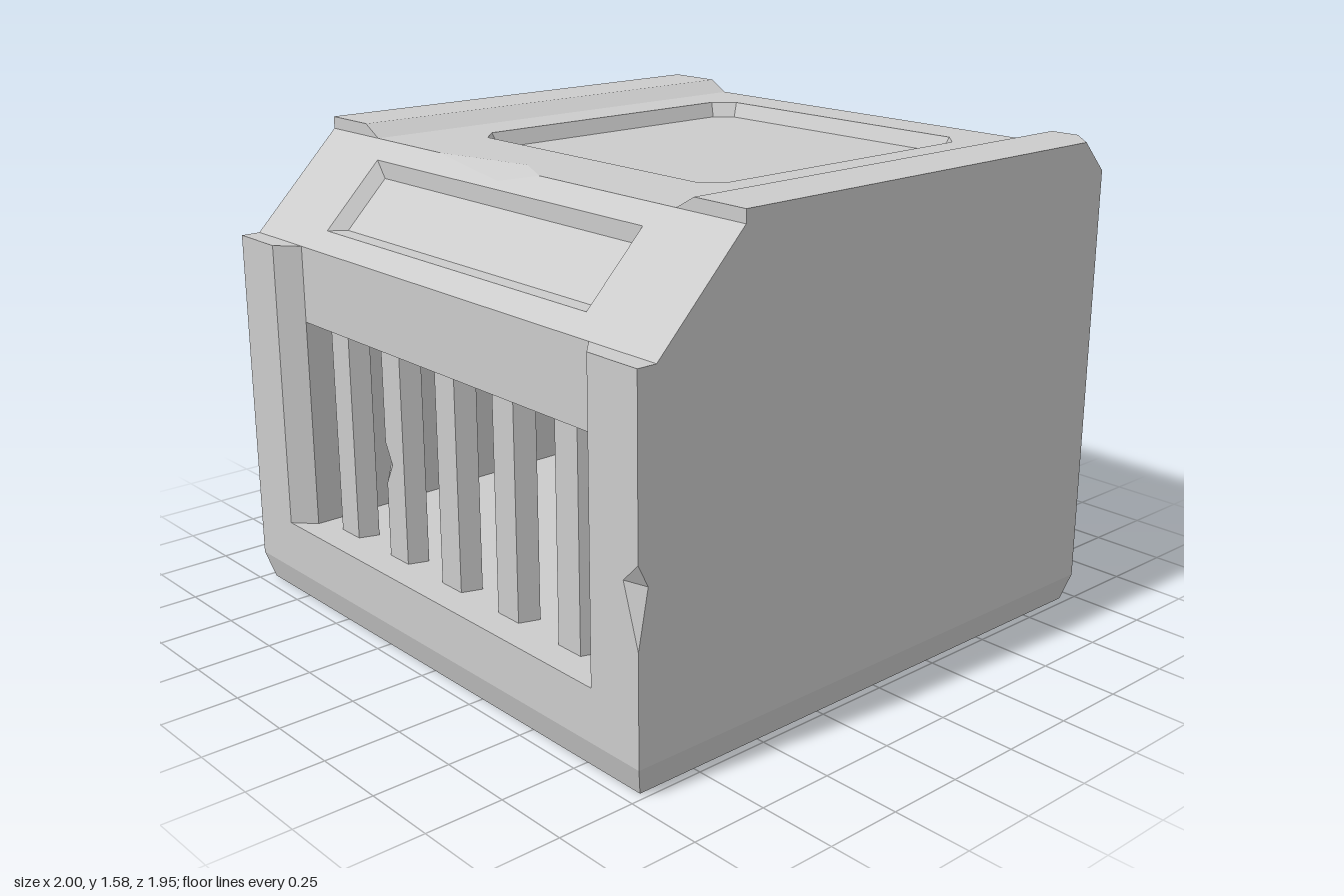
import * as THREE from 'three';

const material = new THREE.MeshStandardMaterial({ color: 0xcccccc, flatShading: true });

function addMesh(parent, name, geometry) {
  const flat = geometry.index ? geometry.toNonIndexed() : geometry;
  flat.computeVertexNormals();
  const mesh = new THREE.Mesh(flat, material);
  mesh.name = name;
  parent.add(mesh);
}

// Flat panel: a 2D outline (with holes) placed in space by map(a, b) -> [x, y, z]
function panel(parent, name, map, outline, holes = []) {
  const toPoints = (list) => list.map(([a, b]) => new THREE.Vector2(a, b));
  const shape = new THREE.Shape(toPoints(outline));
  shape.holes = holes.map((h) => new THREE.Path(toPoints(h)));
  const geometry = new THREE.ShapeGeometry(shape);
  const p = geometry.attributes.position;
  for (let i = 0; i < p.count; i++) p.setXYZ(i, ...map(p.getX(i), p.getY(i)));
  addMesh(parent, name, geometry);
}

function triangles(parent, name, corners) {
  const geometry = new THREE.BufferGeometry();
  geometry.setAttribute('position', new THREE.Float32BufferAttribute(corners.flat(), 3));
  addMesh(parent, name, geometry);
}

// Band of walls between two closed loops with the same number of points
function band(parent, name, a, b) {
  const corners = [];
  a.forEach((p, i) => {
    const j = (i + 1) % a.length;
    corners.push(p, a[j], b[j], p, b[j], b[i]);
  });
  triangles(parent, name, corners);
}

const rect = (x0, y0, x1, y1) => [[x0, y0], [x1, y0], [x1, y1], [x0, y1]];
const octagon = (hx, hz, cut, cz) => [
  [hx, -hz + cut], [hx, hz - cut], [hx - cut, hz], [-hx + cut, hz],
  [-hx, hz - cut], [-hx, -hz + cut], [-hx + cut, -hz], [hx - cut, -hz],
].map(([x, b]) => [x, b + cz]);

// Placements for panels; up uses b = -z, back uses a = -x, left uses a = -z
const front = (z) => (x, y) => [x, y, z];
const up = (y) => (x, b) => [x, y, -b];
const back = (a, y) => [-a, y, -0.975];
const left = (a, y) => [1, y, -a];
const right = (z, y) => [-1, y, z];
const slope = (x, t) => [x, 1.225 + 0.315 * t, 0.91 - 0.31 * t];
const place = (map, loop) => loop.map(([a, b]) => map(a, b));

function buildShell() {
  const g = new THREE.Group();
  g.name = 'shell';

  // Base with a narrow bevel
  panel(g, 'underside', (x, z) => [x, 0, z], rect(-0.975, -0.95, 0.975, 0.95));
  band(g, 'baseBevel', place(up(0), rect(-0.975, -0.95, 0.975, 0.95)),
    place(up(0.09), rect(-1, -0.975, 1, 0.975)));

  // Side walls; the left one has a worn corner and front edge
  panel(g, 'rightWall', right, [[-0.975, 0.09], [0.975, 0.09], [0.975, 1.225], [0.91, 1.225],
    [0.6, 1.54], [0.6, 1.58], [-0.975, 1.58]]);
  panel(g, 'leftWall', left, [[-0.975, 0.09], [0.975, 0.09], [0.975, 1.48], [0.88, 1.58],
    [-0.6, 1.58], [-0.6, 1.54], [-0.91, 1.225], [-0.975, 1.225],
    [-0.975, 0.69], [-0.94, 0.62], [-0.975, 0.44]]);
  panel(g, 'backWall', back, [[-1, 0.09], [1, 0.09], [1, 1.58], [0.8, 1.58], [0.73, 1.54],
    [-0.73, 1.54], [-0.8, 1.58], [-0.9, 1.58], [-1, 1.48]]);

  // Front frame around the open bay
  panel(g, 'frontFrame', front(0.975), [[-1, 0.09], [1, 0.09], [1, 0.44], [0.94, 0.63], [1, 0.69],
    [1, 1.225], [0.8, 1.225], [0.8, 0.26], [-0.8, 0.26], [-0.8, 1.225], [-1, 1.225]]);
  panel(g, 'header', front(0.91), rect(-0.73, 0.97, 0.73, 1.225));
  panel(g, 'baySill', up(0.26), [[-0.8, -0.975], [0.8, -0.975], [0.73, -0.91], [-0.73, -0.91]]);
  for (const s of [-1, 1]) {
    panel(g, 'bayBevel', (a, y) => [s * (0.765 + 0.035 * s * a), y, 0.9425 + 0.0325 * s * a],
      rect(-1, 0.26, 1, 1.225));
    panel(g, 'ledge', up(1.225),
      [[s * 0.73, -0.91], [s * 0.8, -0.975], [s, -0.975], [s, -0.91]]);
    panel(g, 'railEnd', front(0.6),
      [[s, 1.54], [s * 0.73, 1.54], [s * 0.8, 1.58], [s, 1.58]]);
    panel(g, 'railBevel', (x, b) => [x, 1.54 + (Math.abs(x) - 0.73) * 0.04 / 0.07, -b],
      rect(s * 0.73, -0.6, s * 0.8, 0.975));
  }

  // Hollow bay behind the bars
  const bay = rect(-0.73, 0.26, 0.73, 0.97);
  band(g, 'bayWalls', place(front(0.91), bay), place(front(-0.8), bay));
  panel(g, 'bayBack', front(-0.8), bay);

  // Sloped brow with a sunken bevelled panel
  const brow = rect(-0.655, 0.175, 0.655, 0.825);
  panel(g, 'brow', slope, [[-1, 0], [1, 0], [1, 1], [0.13, 1], [-0.03, 0.89], [-0.38, 1], [-1, 1]], [brow]);
  const sunk = (x, t) => {
    const [px, y, z] = slope(x, t);
    return [px, y - 0.0275, z - 0.0275];
  };
  const browFloor = rect(-0.616, 0.262, 0.616, 0.738);
  band(g, 'browRecessWalls', place(slope, brow), place(sunk, browFloor));
  panel(g, 'browRecessFloor', sunk, browFloor);

  // Roof with side rails and a sunken eight-sided panel
  const hatch = octagon(0.57, 0.57, 0.065, 0.25);
  const hatchFloor = octagon(0.547, 0.547, 0.055, 0.25);
  panel(g, 'roof', up(1.54), [[-0.73, -0.6], [-0.38, -0.6], [-0.03, -0.52], [0.13, -0.6],
    [0.73, -0.6], [0.73, 0.975], [-0.73, 0.975]], [hatch]);
  band(g, 'roofRecessWalls', place(up(1.54), hatch), place(up(1.49), hatchFloor));
  panel(g, 'roofRecessFloor', up(1.49), hatchFloor);
  panel(g, 'rightRail', up(1.58), rect(-1, -0.6, -0.8, 0.975));
  panel(g, 'leftRail', up(1.58), [[0.8, -0.6], [1, -0.6], [1, 0.88], [0.9, 0.975], [0.8, 0.975]]);

  // Chipped edges
  const top = [-0.03, 1.54, 0.52], low = slope(-0.03, 0.89);
  triangles(g, 'browChip', [[-0.38, 1.54, 0.6], low, top, [0.13, 1.54, 0.6], top, low]);
  const inFront = [0.94, 0.63, 0.975], inSide = [1, 0.62, 0.94];
  triangles(g, 'frontEdgeChip', [[1, 0.69, 0.975], inFront, inSide, [1, 0.44, 0.975], inSide, inFront]);
  triangles(g, 'backCornerChip', [[0.9, 1.58, -0.975], [1, 1.58, -0.88], [1, 1.48, -0.975]]);
  return g;
}

// Tapered upright bar, optionally nicked on its right front edge
function buildBar(x, nicked) {
  const g = new THREE.Group();
  g.name = 'bar';
  g.position.x = x;
  const y0 = 0.26, y1 = 0.97;
  const nick = (edge, inner) => (nicked ? [[edge, 0.65], [inner, 0.58], [edge, 0.51]] : []);
  const rightSide = (a, y) => [-0.0725 + 0.0225 * a, y, 0.81 + 0.065 * a];
  panel(g, 'barFront', front(0.875),
    [[-0.05, y0], [0.05, y0], [0.05, y1], [-0.05, y1], ...nick(-0.05, -0.015)]);
  panel(g, 'barRightSide', rightSide,
    [[1, y1], [0, y1], [0, y0], [1, y0], ...nick(1, 0.6).reverse()]);
  panel(g, 'barLeftSide', (a, y) => [0.05 + 0.0225 * a, y, 0.875 - 0.065 * a], rect(0, y0, 1, y1));
  panel(g, 'barBack', (a, y) => [-a, y, 0.81], rect(-0.0725, y0, 0.0725, y1));
  if (nicked) {
    const p = [-0.015, 0.58, 0.875], q = rightSide(0.6, 0.58);
    triangles(g, 'barChip', [[-0.05, 0.65, 0.875], q, p, [-0.05, 0.51, 0.875], p, q]);
  }
  return g;
}

export function createModel() {
  const model = new THREE.Group();
  model.name = 'barredCrate';
  model.add(buildShell());
  for (let i = 0; i < 5; i++) model.add(buildBar((i - 2) * 0.291, i === 1));
  return model;
}
